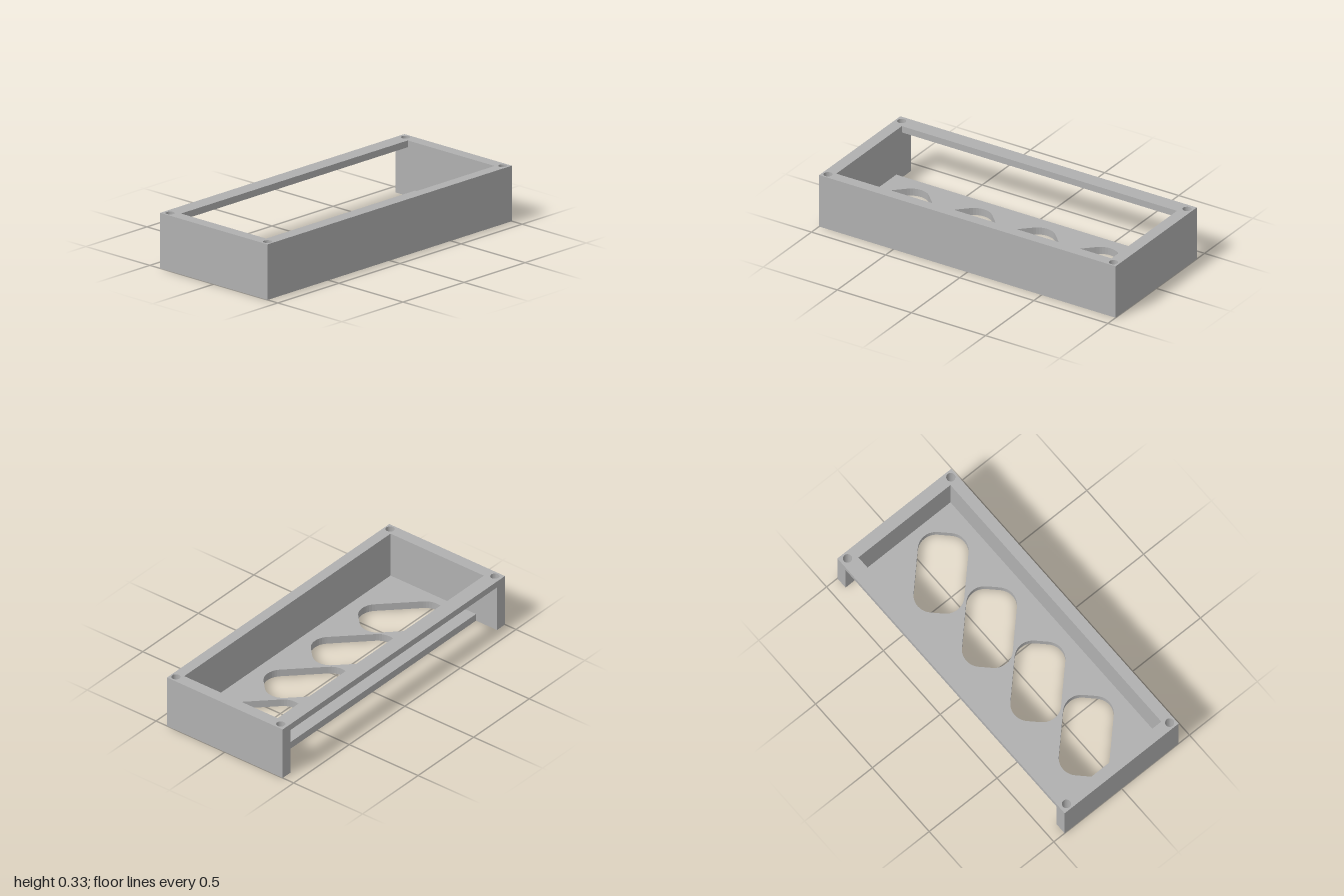
import * as THREE from 'three';

const W = 1, D = 0.42, H = 0.33;            // outer half width, half depth, height
const IX = 0.928, FRONT = 0.353, BACK = -0.325; // inner wall faces
const FLOOR_BACK = -0.268, FLOOR_T = 0.045, BAR_T = 0.04, HOLE_Y = 0.18;

// Closed shape or path from [x, z] points
function outline(Type, pts) {
  return new Type().setFromPoints(pts.map(([x, z]) => new THREE.Vector2(x, -z)));
}

// Extrude a plan outline upwards from y0 to y1
function slab(shape, y0, y1) {
  const g = new THREE.ExtrudeGeometry(shape, { depth: y1 - y0, bevelEnabled: false, curveSegments: 24 });
  return g.rotateX(-Math.PI / 2).translate(0, y0, 0);
}

// Rounded slot, its long axis turned by 45 degrees
function slot(cx, cz) {
  const l = 0.243, w = 0.144, r = 0.105, pts = [];
  const c = Math.SQRT1_2;
  [[1, 1], [-1, 1], [-1, -1], [1, -1]].forEach(([sx, sy], q) => {
    for (let i = 0; i <= 10; i++) {
      const a = (q + i / 10) * Math.PI / 2;
      const u = sx * (l - r) + r * Math.cos(a), v = sy * (w - r) + r * Math.sin(a);
      pts.push([cx + (u - v) * c, cz + (u + v) * c]);
    }
  });
  return outline(THREE.Path, pts);
}

// Front wall and both side walls as one U-shaped plan
const wallPlan = () => outline(THREE.Shape, [
  [-W, D], [W, D], [W, -D], [IX, -D], [IX, FRONT], [-IX, FRONT], [-IX, -D], [-W, -D],
]);

export function createModel() {
  const group = new THREE.Group();
  const grey = new THREE.MeshStandardMaterial({ color: 0xb0b0b0 });
  grey.name = 'grey';
  const add = (name, geometry) => {
    const mesh = new THREE.Mesh(geometry, grey);
    mesh.name = name;
    group.add(mesh);
  };

  // Walls, with blind screw holes in the upper corners
  add('lowerWalls', slab(wallPlan(), 0, HOLE_Y));
  const upper = wallPlan();
  for (const x of [-0.963, 0.963]) {
    for (const z of [-0.376, 0.385]) {
      upper.holes.push(new THREE.Path().absarc(x, -z, 0.026, 0, Math.PI * 2, true));
    }
  }
  add('upperWalls', slab(upper, HOLE_Y, H));

  // Slim bar across the open back
  const bar = new THREE.BoxGeometry(IX * 2, BAR_T, BACK + D);
  add('backBar', bar.translate(0, H - BAR_T / 2, (BACK - D) / 2));

  // Floor with four slanted slots, stopping short of the back
  const floor = outline(THREE.Shape, [[-IX, FRONT], [IX, FRONT], [IX, FLOOR_BACK], [-IX, FLOOR_BACK]]);
  for (let i = 0; i < 4; i++) floor.holes.push(slot(-0.641 + i * 0.426, 0.04));
  add('slottedFloor', slab(floor, 0, FLOOR_T));

  return group;
}
